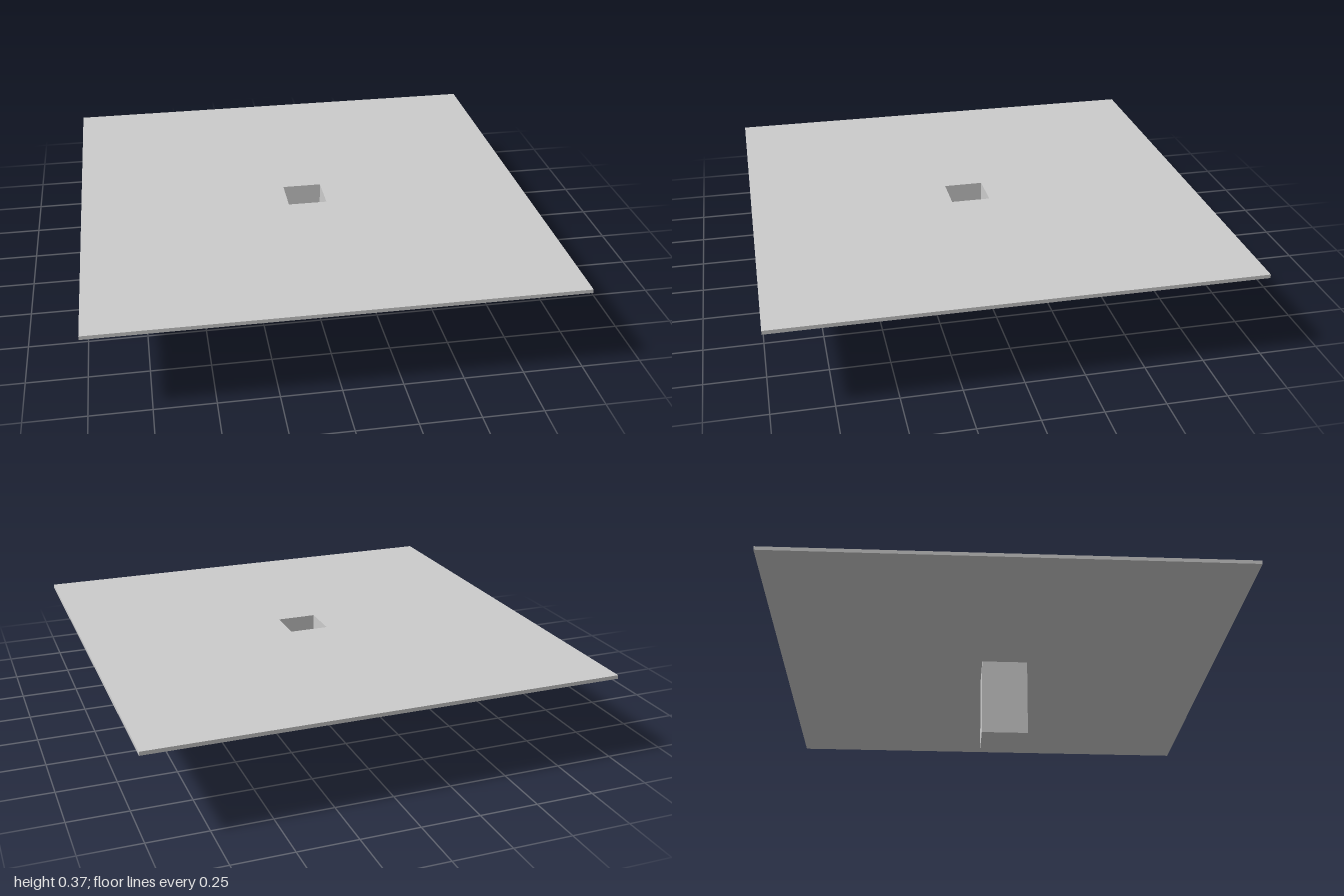
import * as THREE from 'three';

const material = new THREE.MeshStandardMaterial({ color: 0xcccccc });

// Shaft position and sizes, slightly off the plate's centre
const SHAFT = { x: 0.005, z: 0.028, outer: 0.209, inner: 0.171 };
const PLATE_BOTTOM = 0.358, PLATE_TOP = 0.374, FLOOR = 0.02;

// Corners of a square centred on (x, z), in the shape plane where y = -z
function square(size, x, z) {
  const h = size / 2;
  return [[-1, -1], [1, -1], [1, 1], [-1, 1]].map(([u, v]) => new THREE.Vector2(x + u * h, -z + v * h));
}

// Square slab from y0 to y1, optionally pierced by the shaft opening
function slab(name, size, x, z, y0, y1, pierced) {
  const shape = new THREE.Shape(square(size, x, z));
  if (pierced) shape.holes.push(new THREE.Path(square(SHAFT.inner, SHAFT.x, SHAFT.z)));
  const geometry = new THREE.ExtrudeGeometry(shape, { depth: y1 - y0, bevelEnabled: false });
  geometry.rotateX(-Math.PI / 2).translate(0, y0, 0);
  const mesh = new THREE.Mesh(geometry, material);
  mesh.name = name;
  return mesh;
}

export function createModel() {
  const group = new THREE.Group();
  group.name = 'plateWithShaft';
  group.add(
    // Thin square plate with the opening
    slab('plate', 2, 0, 0, PLATE_BOTTOM, PLATE_TOP, true),
    // Hollow shaft hanging below the opening
    slab('shaftWalls', SHAFT.outer, SHAFT.x, SHAFT.z, 0, PLATE_BOTTOM, true),
    // Closed bottom of the shaft
    slab('shaftFloor', SHAFT.inner, SHAFT.x, SHAFT.z, 0, FLOOR, false)
  );
  return group;
}
